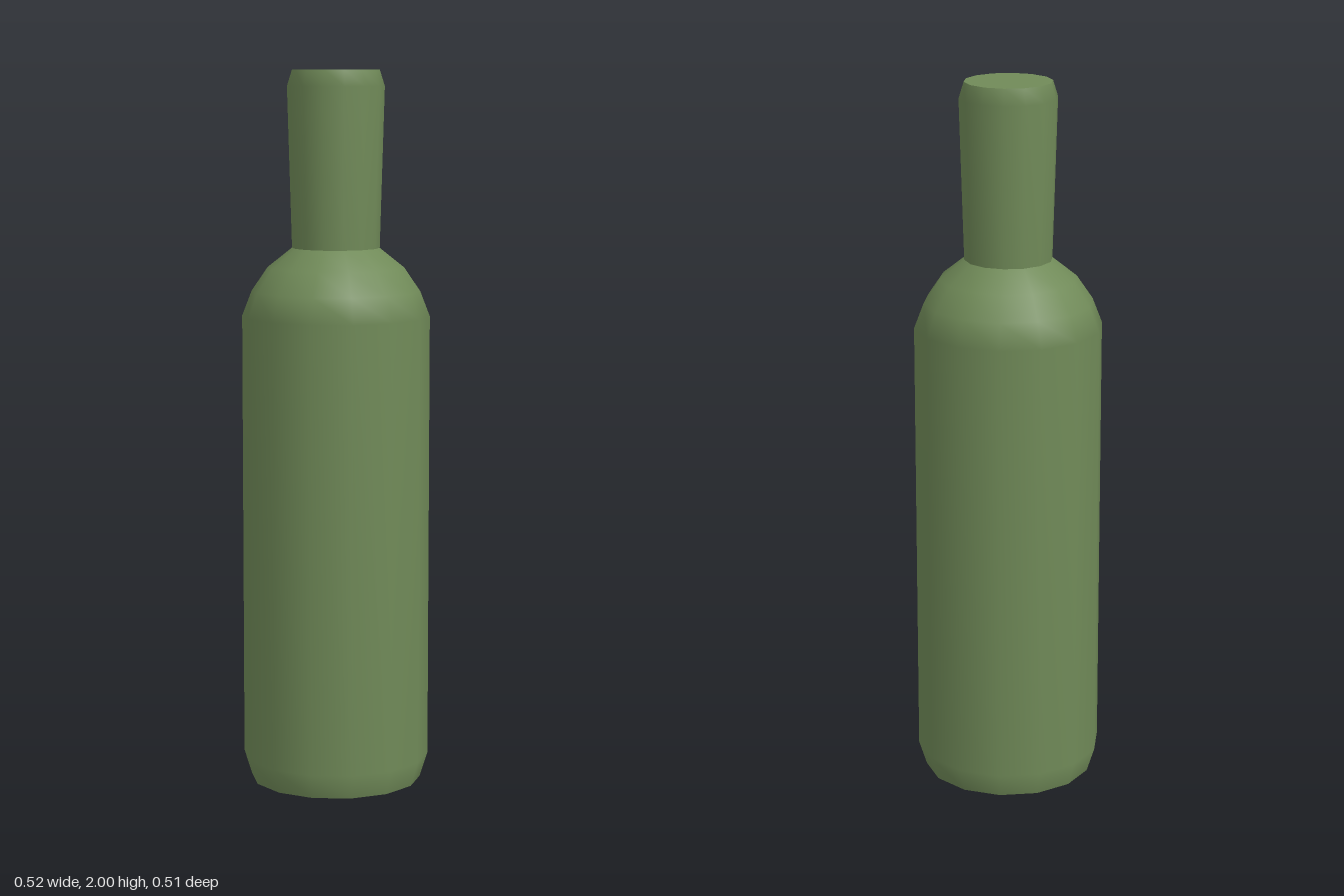
import * as THREE from 'three';

const SIDES = 14;

export function createModel() {
  const model = new THREE.Group();
  model.name = 'bottle';
  const glass = new THREE.MeshStandardMaterial({ color: 0x708a58 });

  // Each [radius, height] profile runs bottom to top; separate parts keep sharp edges between them.
  function addTurned(name, profile) {
    const points = profile.map(([r, y]) => new THREE.Vector2(r, y));
    const mesh = new THREE.Mesh(new THREE.LatheGeometry(points, SIDES, Math.PI / 2), glass);
    mesh.name = name;
    model.add(mesh);
  }

  // Flat underside
  addTurned('base', [[0, 0], [0.24, 0]]);
  // Straight body with a chamfered foot and rounded shoulder
  addTurned('body', [
    [0.24, 0], [0.262, 0.07], [0.262, 1.32],
    [0.235, 1.39], [0.19, 1.456], [0.122, 1.51],
  ]);
  // Neck flaring slightly towards a chamfered lip
  addTurned('neck', [[0.122, 1.51], [0.135, 1.955], [0.121, 2]]);
  // Flat closed top
  addTurned('cap', [[0.121, 2], [0, 2]]);

  return model;
}
